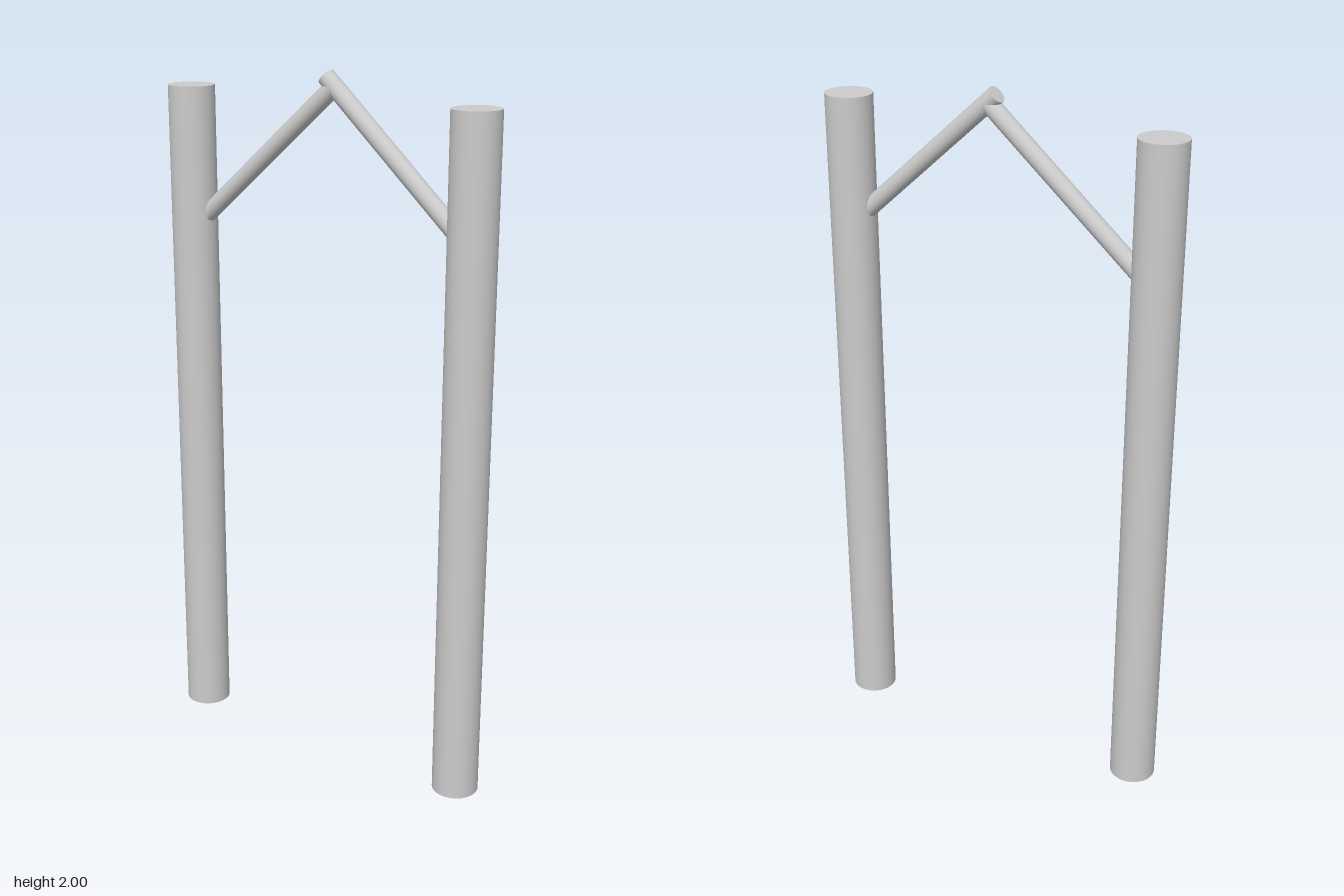
import * as THREE from 'three';

const material = new THREE.MeshStandardMaterial({ color: 0xcccccc });

// Capped round bar running between two points in the z = 0 plane
function makeBar(name, [x0, y0], [x1, y1], radius) {
  const start = new THREE.Vector3(x0, y0, 0);
  const end = new THREE.Vector3(x1, y1, 0);
  const axis = end.clone().sub(start);
  const mesh = new THREE.Mesh(new THREE.CylinderGeometry(radius, radius, axis.length(), 48), material);
  mesh.name = name;
  mesh.position.copy(start).add(end).multiplyScalar(0.5);
  mesh.quaternion.setFromUnitVectors(new THREE.Vector3(0, 1, 0), axis.normalize());
  return mesh;
}

export function createModel() {
  const model = new THREE.Group();
  model.name = 'gateFrame';

  // Two upright posts
  for (const [name, x] of [['leftPost', 0.461], ['rightPost', -0.461]]) {
    model.add(makeBar(name, [x, 0], [x, 1.93], 0.066));
  }

  // Sloping braces meeting at the peak; the left one overlaps the end of the right one
  model.add(makeBar('leftBrace', [0.44, 1.586], [0.004, 1.979], 0.025));
  model.add(makeBar('rightBrace', [-0.44, 1.545], [0.03, 1.955], 0.025));

  return model;
}
